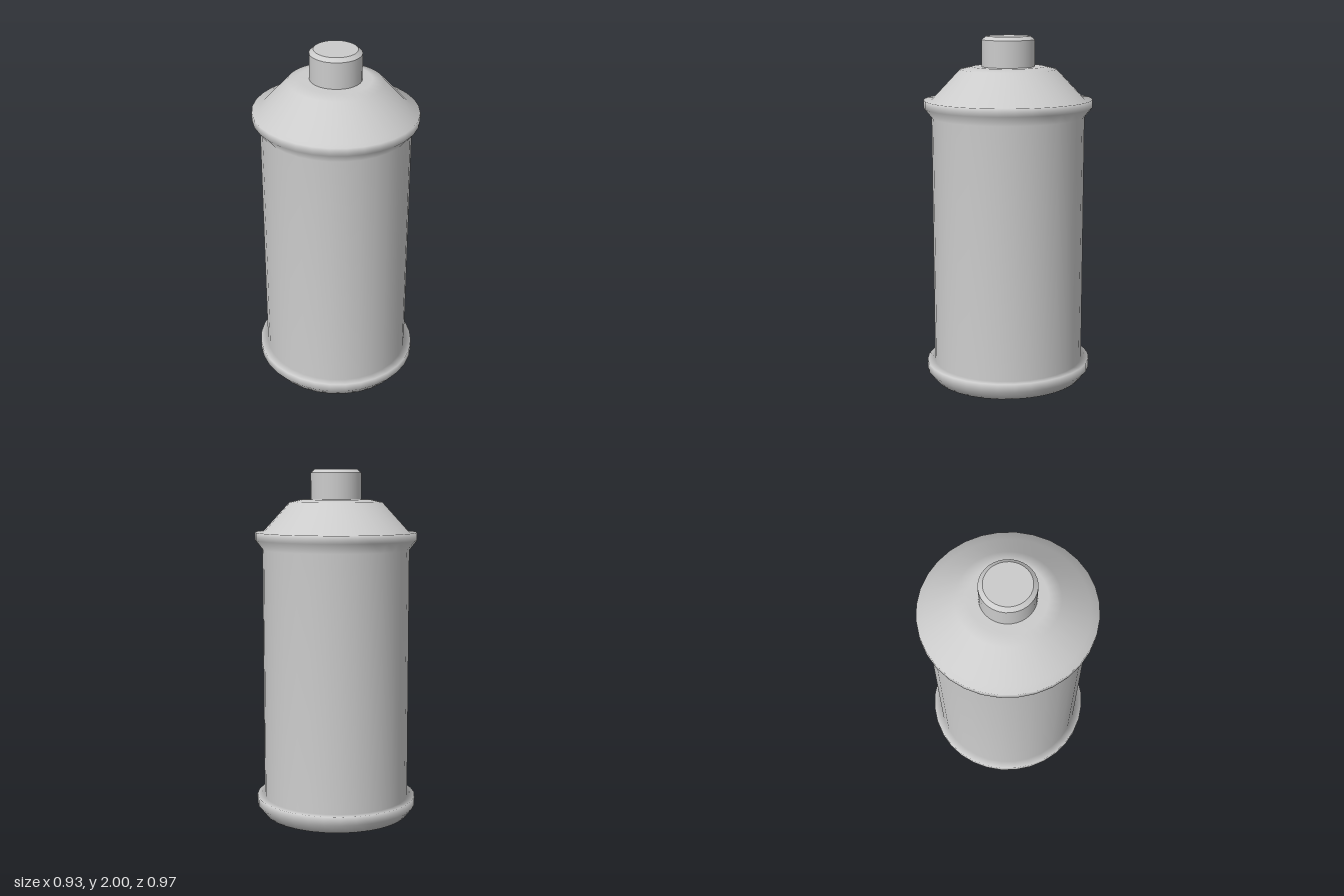
import * as THREE from 'three';

const SEGMENTS = 32;
const DEPTH = 1.047; // the round sections are slightly deeper than wide

export function createModel() {
  const group = new THREE.Group();
  const material = new THREE.MeshStandardMaterial({ color: 0xcccccc });

  // Turn a profile of [radius, height] pairs into a slightly oval solid
  function turn(name, profile) {
    const points = profile.map(([r, y]) => new THREE.Vector2(r, y));
    const geometry = new THREE.LatheGeometry(points, SEGMENTS);
    geometry.scale(1, 1, DEPTH);
    const mesh = new THREE.Mesh(geometry, material);
    mesh.name = name;
    group.add(mesh);
  }

  // Softly shaded can: base, lower rim, wall, upper rim and shoulder
  turn('canBody', [
    [0, 0], [0.42, 0],
    [0.463, 0.055], [0.463, 0.105],
    [0.42, 0.105], [0.42, 1.545],
    [0.463, 1.6], [0.463, 1.645],
    [0.42, 1.645], [0.265, 1.815],
    [0.2, 1.83], [0, 1.83],
  ]);

  // Spray cap with crisp edges, so each band is turned separately
  turn('nozzleSide', [[0.145, 1.82], [0.145, 1.98]]);
  turn('nozzleBevel', [[0.145, 1.98], [0.122, 2]]);
  turn('nozzleTop', [[0.122, 2], [0, 2]]);

  return group;
}
